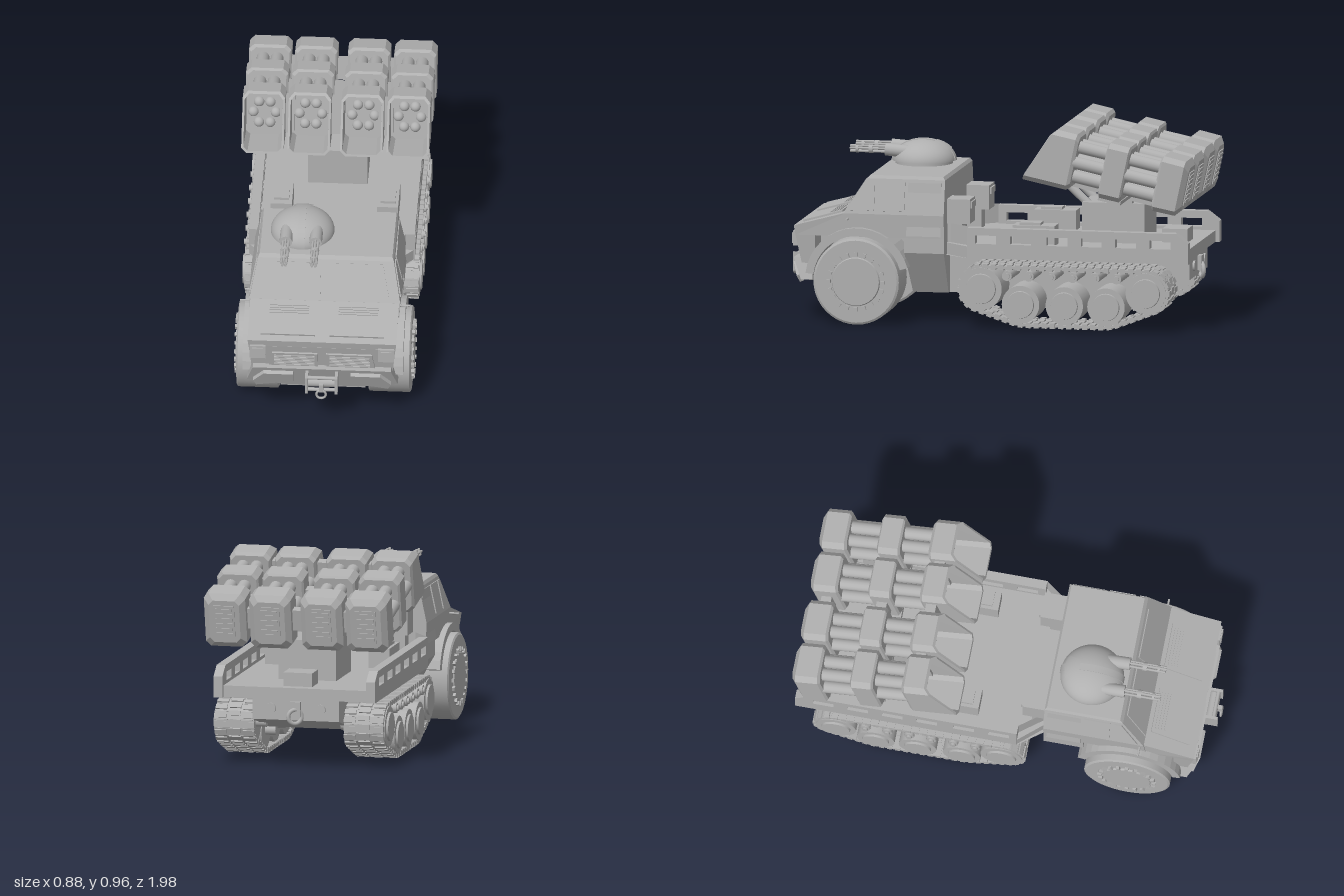
import * as THREE from 'three';
import { mergeGeometries } from 'three/addons/utils/BufferGeometryUtils.js';

const grey = new THREE.MeshStandardMaterial({ color: 0xb0b0b0 });
grey.name = 'plain grey';

export function createModel() {
  const model = new THREE.Group();
  const add = (name, geo, parent = model) => {
    const m = new THREE.Mesh(geo, grey);
    m.name = name;
    parent.add(m);
    return m;
  };
  const box = (name, w, h, d, x, y, z, parent) => {
    const m = add(name, new THREE.BoxGeometry(w, h, d), parent);
    m.position.set(x, y, z);
    return m;
  };
  // cylinder between two points
  const rod = (name, a, b, r, parent, r2 = r, seg = 16) => {
    const p = new THREE.Vector3(...a), q = new THREE.Vector3(...b), d = q.clone().sub(p);
    const m = add(name, new THREE.CylinderGeometry(r2, r, d.length(), seg), parent);
    m.position.copy(p).add(q).multiplyScalar(0.5);
    m.quaternion.setFromUnitVectors(new THREE.Vector3(0, 1, 0), d.normalize());
    return m;
  };
  // skin over rings of points, flat shaded, capped at both ends
  const loft = (rings) => {
    const n = rings[0].length, v = [];
    const tri = (a, b, c) => v.push(...a, ...b, ...c);
    for (let i = 0; i < rings.length - 1; i++) for (let j = 0; j < n; j++) {
      const k = (j + 1) % n, A = rings[i], B = rings[i + 1];
      tri(A[j], A[k], B[k]); tri(A[j], B[k], B[j]);
    }
    const s = rings[0], e = rings[rings.length - 1];
    for (let j = 1; j < n - 1; j++) { tri(s[0], s[j + 1], s[j]); tri(e[0], e[j], e[j + 1]); }
    const g = new THREE.BufferGeometry();
    g.setAttribute('position', new THREE.Float32BufferAttribute(v, 3));
    g.computeVertexNormals();
    return g;
  };
  // horizontal rectangle ring, optionally sloping front to back
  const rect = (hw, y, zf, zb, yb = y) => [[hw, y, zf], [hw, yb, zb], [-hw, yb, zb], [-hw, y, zf]];
  // thin raised plate over a polygon, made on both sides of the model
  const plates = (name, pts, t = 0.006) => {
    for (const p of [pts, pts.map(([x, y, z]) => [-x, y, z]).reverse()]) {
      const a = new THREE.Vector3(...p[0]);
      const n = new THREE.Vector3(...p[1]).sub(a).cross(new THREE.Vector3(...p[2]).sub(a)).normalize();
      add(name, loft([p, p.map(q => q.map((c, i) => c + n.getComponent(i) * t))]));
    }
  };
  // side profile of [z, y] points extruded across x
  const sideExtrude = (pts, x0, x1, holes = []) => {
    const s = new THREE.Shape(pts.map(p => new THREE.Vector2(...p)));
    for (const h of holes) s.holes.push(new THREE.Path(h.map(p => new THREE.Vector2(...p))));
    return new THREE.ExtrudeGeometry(s, { depth: x1 - x0, bevelEnabled: false }).rotateY(-Math.PI / 2).translate(x1, 0, 0);
  };

  // Cab body
  add('cabCore', loft([rect(0.2, 0.14, 0.84, 0.2), rect(0.2, 0.42, 0.88, 0.2)]));
  add('cabRearSkirt', loft([rect(0.24, 0.14, 0.37, 0.2), rect(0.35, 0.34, 0.39, 0.2), rect(0.35, 0.42, 0.39, 0.2)]));
  add('cabUpper', loft([rect(0.35, 0.41, 0.69, 0.2), rect(0.355, 0.52, 0.68, 0.2), rect(0.32, 0.685, 0.575, 0.2), rect(0.312, 0.7, 0.56, 0.21)]));
  add('hood', loft([rect(0.345, 0.41, 0.912, 0.66), rect(0.35, 0.455, 0.92, 0.66, 0.525)]));
  add('nose', loft([rect(0.33, 0.25, 0.88, 0.82), rect(0.345, 0.42, 0.915, 0.82)]));
  const paneZ = y => 0.681 - (y - 0.52) * 0.636, sideX = y => 0.355 - (y - 0.52) * 0.212;
  const W = (x, y) => [x, y, paneZ(y)], S = (z, y) => [sideX(y), y, z];
  plates('windshield', [W(0.022, 0.528), W(0.305, 0.528), W(0.27, 0.672), W(0.022, 0.672)]);
  plates('quarterWindow', [S(0.65, 0.535), S(0.535, 0.535), S(0.535, 0.67), S(0.57, 0.67)]);
  plates('doorWindow', [S(0.515, 0.535), S(0.39, 0.535), S(0.39, 0.67), S(0.515, 0.67)]);
  plates('doorPanel', [[0.354, 0.42, 0.38], [0.354, 0.42, 0.215], S(0.215, 0.67), S(0.375, 0.67)], 0.004);

  // Hood hatches and vents
  const H = (x, z, o = 0) => [x, 0.455 + (0.92 - z) * 0.27 + o, z];
  plates('hoodHatch', [H(0.035, 0.885), H(0.29, 0.885), H(0.275, 0.7), H(0.05, 0.7)], 0.009);
  for (let i = 0; i < 4; i++) {
    const z = 0.765 - i * 0.014;
    plates('hoodVent', [H(0.07, z, 0.009), H(0.255, z, 0.009), H(0.255, z - 0.007, 0.009), H(0.07, z - 0.007, 0.009)], 0.004);
  }

  // Grille and headlights
  const F = (x, y, o = 0) => [x, y, 0.881 + (y - 0.25) * 0.206 + o];
  plates('grilleFrame', [F(0.02, 0.295), F(0.25, 0.295), F(0.235, 0.385), F(0.02, 0.385)], 0.009);
  for (let i = 0; i < 7; i++) {
    const y = 0.306 + i * 0.01;
    plates('grilleSlat', [F(0.035, y, 0.008), F(0.225, y, 0.008), F(0.225, y + 0.005, 0.008), F(0.035, y + 0.005, 0.008)], 0.006);
  }
  for (const s of [-1, 1]) {
    box('headlightFrame', 0.074, 0.07, 0.03, s * 0.302, 0.392, 0.912);
    box('headlight', 0.052, 0.05, 0.03, s * 0.302, 0.392, 0.918);
    rod('mirrorArm', [s * 0.34, 0.495, 0.66], [s * 0.4, 0.493, 0.66], 0.005);
  }

  // Bumper, winch and tow ring
  const bz = y => 0.925 - (0.3 - y) * 0.4;
  const bumper = [[0.325, 0.3], [-0.325, 0.3], [-0.355, 0.2], [-0.17, 0.17], [0.17, 0.17], [0.355, 0.2]];
  add('bumper', loft([bumper.map(([x, y]) => [x, y, 0.83]), bumper.map(([x, y]) => [x, y, bz(y)])]));
  const B = (x, y) => [x, y, bz(y)];
  plates('bumperPanel', [B(0.135, 0.225), B(0.31, 0.188), B(0.325, 0.22), B(0.275, 0.28), B(0.135, 0.28)], 0.02);
  for (const s of [-1, 1]) box('winchBracket', 0.014, 0.09, 0.08, s * 0.07, 0.242, 0.94);
  rod('winchDrum', [-0.07, 0.245, 0.945], [0.07, 0.245, 0.945], 0.025);
  for (const y of [0.21, 0.277]) rod('winchRoller', [-0.07, y, 0.96], [0.07, y, 0.96], 0.009);
  add('towRing', new THREE.TorusGeometry(0.022, 0.006, 8, 20)).position.set(0, 0.2, 0.985);
  box('towShackle', 0.02, 0.04, 0.03, 0, 0.235, 0.975);

  // Front wheels, arches and axle
  for (const s of [-1, 1]) {
    const wheel = new THREE.Group();
    wheel.name = 'frontWheel';
    wheel.position.set(s * 0.31, 0.205, 0.61);
    wheel.rotation.z = -s * Math.PI / 2;
    model.add(wheel);
    const prof = [[0, -0.06], [0.11, -0.06], [0.13, -0.1], [0.195, -0.1], [0.205, -0.094], [0.205, 0.094], [0.195, 0.1], [0, 0.1]];
    add('tyre', new THREE.LatheGeometry(prof.flatMap(p => [p, p]).map(p => new THREE.Vector2(...p)), 40), wheel);
    for (let i = 0; i < 20; i++) {
      const a = i * Math.PI / 10;
      const b = box('hubBolt', 0.02, 0.026, 0.016, Math.cos(a) * 0.13, 0.1, Math.sin(a) * 0.13, wheel);
      b.rotation.y = -a;
    }
    rod('hubPlate', [0, 0.095, 0], [0, 0.108, 0], 0.118, wheel, 0.112, 40);
    const arch = [], angle = i => 0.12 + i * 0.172;
    const archPoint = (i, r) => arch.push([0.61 + Math.cos(angle(i)) * r, 0.205 + Math.sin(angle(i)) * r]);
    for (let i = 0; i <= 16; i++) archPoint(i, 0.25);
    for (let i = 16; i >= 0; i--) archPoint(i, 0.212);
    add('wheelArch', sideExtrude(arch, s > 0 ? 0.19 : -0.378, s > 0 ? 0.378 : -0.19));
    box('axleHousing', 0.05, 0.13, 0.12, s * 0.195, 0.14, 0.6);
  }

  // Gun turret
  const turret = new THREE.Group();
  turret.name = 'turret';
  turret.position.set(-0.12, 0.7, 0.39);
  model.add(turret);
  rod('turretRing', [0, 0, 0], [0, 0.02, 0], 0.135, turret, 0.135, 40);
  const shells = {
    turretDome: new THREE.SphereGeometry(0.15, 40, 14, 0, Math.PI * 2, 0, Math.PI / 2),
    turretBand: new THREE.CylinderGeometry(0.153, 0.153, 0.034, 32, 1, false, 0, Math.PI).rotateZ(Math.PI / 2),
    turretHatch: new THREE.SphereGeometry(0.156, 10, 8, Math.PI * 1.5 - 0.45, 0.9, 0.4, 0.6),
  };
  for (const [name, geo] of Object.entries(shells)) {
    const m = add(name, geo, turret);
    m.scale.y = 0.66;
    m.position.y = 0.015;
  }
  add('turretBase', new THREE.CircleGeometry(0.15, 40).rotateX(Math.PI / 2), turret).position.y = 0.015;
  for (const x of [-0.07, 0.07]) {
    rod('gunMount', [x, 0.06, 0.05], [x, 0.068, 0.17], 0.03, turret);
    rod('gunCollar', [x, 0.068, 0.23], [x, 0.068, 0.25], 0.021, turret);
    rod('gunCollar', [x, 0.068, 0.3], [x, 0.068, 0.312], 0.019, turret);
    for (let i = 0; i < 5; i++) {
      const a = i * Math.PI * 0.4, dx = x + Math.sin(a) * 0.013, y = 0.068 + Math.cos(a) * 0.013;
      rod('gunBarrel', [dx, y, 0.15], [dx, y, 0.34], 0.006, turret, 0.006, 8);
    }
  }

  // Hull and cargo bed
  add('hull', sideExtrude([[0.3, 0.14], [0.3, 0.34], [-0.95, 0.34], [-0.95, 0.23], [-0.62, 0.14]], -0.21, 0.21));
  const bed = [[0.28, 0.2], [0.385, 0.08], [0.385, -0.96], [-0.385, -0.96], [-0.385, 0.08], [-0.28, 0.2]];
  add('bedFloor', loft([0.33, 0.385].map(y => bed.map(([x, z]) => [x, y, z]))));
  const windows = [-0.008, -0.175, -0.35, -0.515, -0.68, -0.845].map(z => [[z - 0.05, 0.4], [z + 0.05, 0.4], [z + 0.05, 0.44], [z - 0.05, 0.44]]);
  const railSide = [[0.08, 0.33], [0.08, 0.475], [-0.92, 0.475], [-0.98, 0.43], [-0.98, 0.33]];
  for (const s of [-1, 1]) {
    add('bedRail', sideExtrude(railSide, s > 0 ? 0.347 : -0.39, s > 0 ? 0.39 : -0.347, windows));
    const corner = [[0.39, 0.08], [0.3, 0.2], [0.255, 0.2], [0.347, 0.08]].map(([x, z]) => [x * s, z]);
    if (s < 0) corner.reverse();
    add('bedRailCorner', loft([0.33, 0.475].map(y => corner.map(([x, z]) => [x, y, z]))));
    box('cabLocker', 0.125, 0.115, 0.11, s * 0.228, 0.535, 0.143);
    box('cabLockerLid', 0.1, 0.03, 0.125, s * 0.228, 0.565, 0.143);
    box('cabLockerStand', 0.08, 0.1, 0.07, s * 0.228, 0.43, 0.165);
    box('bedLocker', 0.1, 0.1, 0.2, s * 0.25, 0.43, -0.22);
    box('bedLockerLid', 0.07, 0.014, 0.1, s * 0.25, 0.485, -0.2);
    rod('rearPort', [s * 0.12, 0.285, -0.945], [s * 0.12, 0.285, -0.96], 0.025);
  }
  box('rearWinch', 0.14, 0.07, 0.12, 0, 0.415, -0.85);
  box('rearHookMount', 0.05, 0.07, 0.03, 0, 0.285, -0.955);
  add('rearTowRing', new THREE.TorusGeometry(0.033, 0.01, 10, 24).rotateY(0.5)).position.set(0, 0.25, -0.965);

  // Tracks with road wheels
  const path = new THREE.CurvePath(), loop = [];
  const arc = (z, y, r, a0, a1) => { for (let i = 0; i <= 14; i++) { const a = a0 + (a1 - a0) * i / 14; loop.push(new THREE.Vector3(0, y + r * Math.sin(a), z + r * Math.cos(a))); } };
  arc(0.01, 0.19, 0.104, Math.PI / 2, -1.05);
  loop.push(new THREE.Vector3(0, 0.022, -0.17), new THREE.Vector3(0, 0.022, -0.61));
  arc(-0.78, 0.19, 0.102, -2.3, -Math.PI * 1.5);
  loop.forEach((p, i) => path.add(new THREE.LineCurve3(p, loop[(i + 1) % loop.length])));
  const spots = path.getSpacedPoints(58);
  const links = [];
  for (let i = 0; i < 58; i++) {
    const p = spots[i], q = spots[i + 1], len = p.distanceTo(q);
    const m = new THREE.Matrix4().makeRotationX(-Math.atan2(q.y - p.y, q.z - p.z)).setPosition(0, (p.y + q.y) / 2, (p.z + q.z) / 2);
    const parts = [new THREE.BoxGeometry(0.19, 0.012, len * 1.15)];
    for (const x of [-0.068, 0, 0.068]) parts.push(new THREE.BoxGeometry(0.056, 0.026, len * 0.62).translate(x, 0, x ? 0 : len * 0.25));
    parts.forEach(g => links.push(g.applyMatrix4(m)));
  }
  const trackGeo = mergeGeometries(links);
  for (const s of [-1, 1]) {
    add('track', trackGeo).position.x = s * 0.312;
    for (const [z, y, r] of [[0.01, 0.19, 0.1], [-0.18, 0.12, 0.09], [-0.39, 0.12, 0.09], [-0.59, 0.12, 0.09], [-0.78, 0.19, 0.096]]) {
      rod('roadWheel', [s * 0.23, y, z], [s * 0.412, y, z], r, model, r, 28);
      rod('roadWheelRim', [s * 0.4, y, z], [s * 0.422, y, z], r * 0.75, model, r * 0.7, 28);
      rod('axle', [s * 0.18, y, z], [s * 0.25, y, z], 0.025);
    }
    for (let i = 0; i < 6; i++) {
      const z = -0.115 - i * 0.105;
      rod('returnRoller', [s * 0.2, 0.255, z], [s * 0.415, 0.255, z], 0.024);
      rod('rollerCap', [s * 0.41, 0.255, z], [s * 0.424, 0.255, z], 0.014);
    }
  }

  // Launcher turntable and cradle
  box('turntable', 0.28, 0.195, 0.3, 0, 0.4775, -0.57);
  const launcher = new THREE.Group();
  launcher.name = 'launcher';
  launcher.position.set(0, 0.762, -0.632);
  launcher.rotation.x = -0.21;
  model.add(launcher);
  for (const x of [-0.12, 0.12]) {
    box('cradleBeam', 0.05, 0.03, 0.46, x, -0.15, 0.02, launcher);
    box('cradleArm', 0.04, 0.1, 0.12, x, 0.59, -0.6);
    rod('liftRam', [x * 0.7, 0.56, -0.44], [x * 0.7, 0.645, -0.35], 0.02);
  }
  box('cradlePlate', 0.8, 0.02, 0.11, 0, -0.14, 0, launcher);
  for (const x of [-0.235, 0, 0.228]) for (const [z, h] of [[0.25, 0.18], [0, 0.1], [-0.27, 0.1]]) box('podLink', 0.07, h, 0.05, x, 0, z, launcher);

  // Rocket pods
  const oct = (w, h, c, z) => [[w, c - h], [w, h - c], [w - c, h], [c - w, h], [-w, h - c], [-w, c - h], [c - w, -h], [w - c, -h]]
    .map(([x, y]) => [x, y, typeof z === 'function' ? z(y) : z]);
  const lip = y => y > 0.039 ? 0.392 - (y - 0.039) * 0.87 : 0.392 + (0.039 - y) * 0.18;
  for (const cx of [-0.343, -0.126, 0.122, 0.34]) {
    const pod = new THREE.Group();
    pod.name = 'rocketPod';
    pod.position.x = cx;
    launcher.add(pod);
    add('podHood', loft([oct(0.09, 0.122, 0.024, 0.195), oct(0.1, 0.135, 0.024, 0.21), oct(0.1, 0.135, 0.024, lip), oct(0.09, 0.124, 0.02, lip), oct(0.086, 0.118, 0.02, 0.245)]), pod);
    add('podBand', loft([oct(0.09, 0.124, 0.024, -0.056), oct(0.1, 0.134, 0.024, -0.048), oct(0.1, 0.134, 0.024, 0.048), oct(0.09, 0.124, 0.024, 0.056)]), pod);
    add('podRear', loft([oct(0.074, 0.104, 0.022, -0.345), oct(0.1, 0.132, 0.024, -0.322), oct(0.1, 0.134, 0.024, -0.215), oct(0.09, 0.122, 0.024, -0.205)]), pod);
    box('exhaustFrame', 0.1, 0.16, 0.01, 0, 0, -0.345, pod);
    for (let i = 0; i < 6; i++) {
      box('exhaustSlat', 0.08, 0.012, 0.006, 0, -0.06 + i * 0.024, -0.351, pod);
      const a = i * Math.PI / 3, c = Math.cos(a), d = Math.sin(a);
      rod('rocketTube', [c * 0.066, d * 0.082, -0.22], [c * 0.066, d * 0.082, 0.21], 0.03, pod);
      const nose = add('rocketNose', new THREE.SphereGeometry(0.025, 18, 12), pod);
      nose.position.set(c * 0.053, d * 0.061, 0.243);
    }
    rod('centreTube', [0, 0, -0.22], [0, 0, 0.21], 0.035, pod);
  }
  return model;
}
